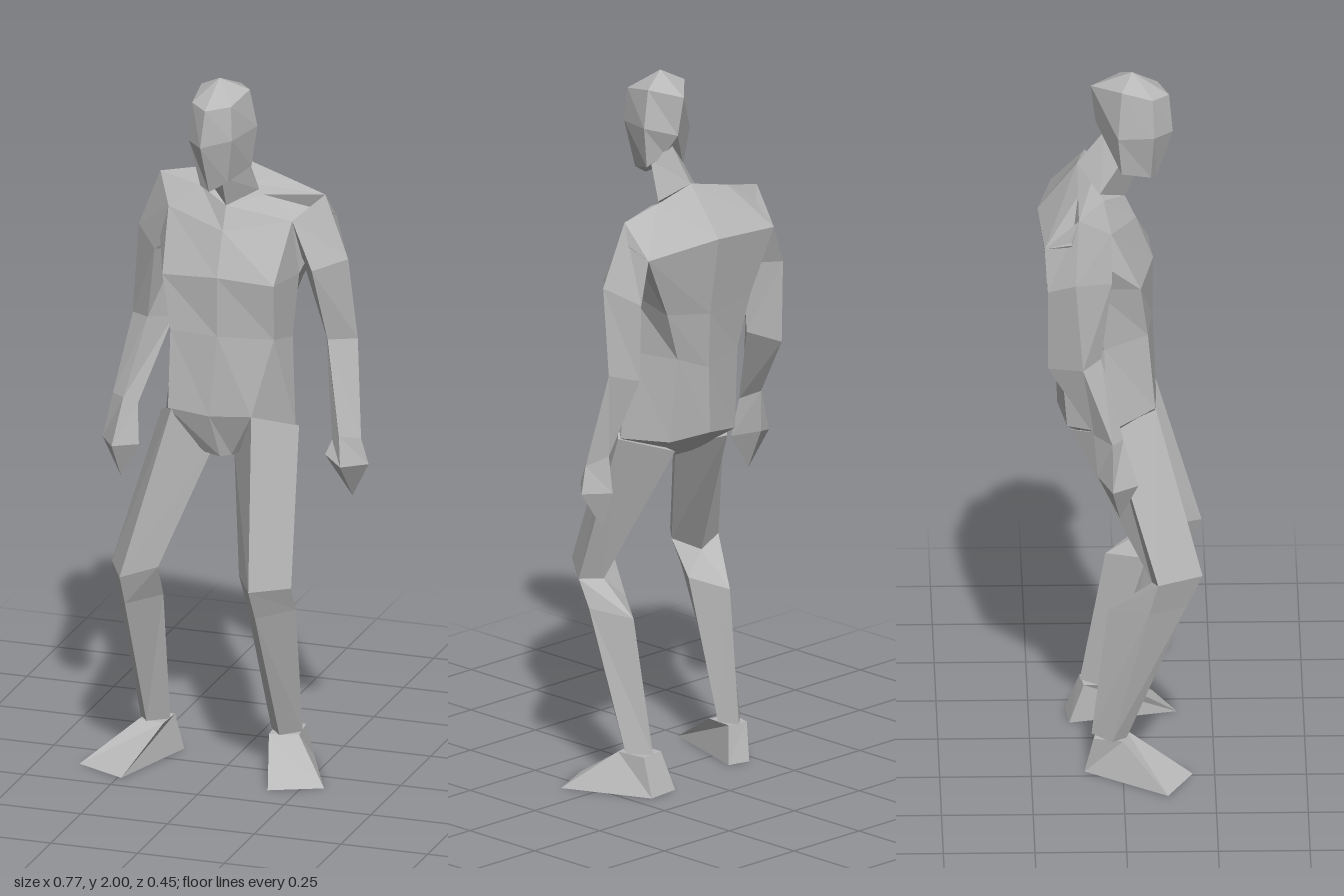
import * as THREE from 'three';

const grey = new THREE.MeshStandardMaterial({ color: 0xb8b8b8 });
grey.name = 'plain grey';

// Skin a stack of cross-section rings with flat facets; a one-point ring makes a tip.
function loft(name, rings) {
  const tris = [];
  const add = (a, b, c) => { if (a !== b && b !== c && c !== a) tris.push([a, b, c]); };
  const at = (ring, i) => ring[i % ring.length];
  const sides = Math.max(...rings.map(r => r.length));
  for (let k = 0; k < rings.length - 1; k++) {
    for (let i = 0; i < sides; i++) {
      const a = at(rings[k], i), b = at(rings[k], i + 1);
      const c = at(rings[k + 1], i + 1), d = at(rings[k + 1], i);
      add(a, b, c);
      add(a, c, d);
    }
  }
  // End caps
  const cap = (ring, flip) => {
    if (ring.length < 3) return;
    const mid = [0, 1, 2].map(j => ring.reduce((s, p) => s + p[j], 0) / ring.length);
    ring.forEach((p, i) => {
      const q = at(ring, i + 1);
      if (flip) add(mid, q, p); else add(mid, p, q);
    });
  };
  cap(rings[0], true);
  cap(rings[rings.length - 1], false);

  // Turn the facets outward if the enclosed volume is negative
  const v = p => new THREE.Vector3(...p);
  const volume = tris.reduce((s, [a, b, c]) => s + v(a).dot(v(b).cross(v(c))), 0);
  if (volume < 0) tris.forEach(t => t.reverse());

  const geometry = new THREE.BufferGeometry();
  geometry.setAttribute('position', new THREE.Float32BufferAttribute(tris.flat(2), 3));
  geometry.computeVertexNormals();
  const mesh = new THREE.Mesh(geometry, grey);
  mesh.name = name;
  return mesh;
}

// Head rings: front, front left, left, back, right, front right
const head = [
  [[-0.012, 2, 0.03]],
  [[-0.02, 1.935, 0.13], [0.045, 1.945, 0.1], [0.065, 1.965, 0], [0.01, 1.95, -0.083], [-0.075, 1.965, 0], [-0.072, 1.94, 0.085]],
  [[-0.03, 1.83, 0.14], [0.05, 1.85, 0.107], [0.085, 1.86, -0.005], [0.02, 1.84, -0.07], [-0.085, 1.83, -0.01], [-0.08, 1.83, 0.088]],
  [[-0.02, 1.69, 0.095], [0.03, 1.72, 0.085], [0.07, 1.745, 0], [0.03, 1.78, -0.03], [-0.07, 1.72, 0], [-0.05, 1.7, 0.08]],
];

// Neck rings: front, left, back, right
const neck = [
  [[0, 1.72, 0.05], [0.055, 1.76, 0], [0.02, 1.81, -0.045], [-0.055, 1.75, 0]],
  [[0, 1.625, 0.01], [0.075, 1.66, -0.05], [0.02, 1.715, -0.12], [-0.07, 1.66, -0.06]],
];

// Torso rings: front, front left, left, back left, back, back right, right, front right
const chest = [
  [[0, 1.625, 0.01], [0.09, 1.65, -0.04], [0.25, 1.65, -0.095], [0.14, 1.68, -0.11],
    [0.02, 1.715, -0.12], [-0.12, 1.68, -0.12], [-0.234, 1.655, -0.12], [-0.09, 1.65, -0.05]],
  [[0, 1.56, 0.04], [0.18, 1.59, -0.02], [0.26, 1.59, -0.12], [0.25, 1.56, -0.188],
    [0.02, 1.58, -0.228], [-0.207, 1.56, -0.213], [-0.25, 1.59, -0.14], [-0.18, 1.59, -0.03]],
  [[0, 1.44, 0.087], [0.16, 1.43, 0.077], [0.19, 1.43, -0.05], [0.16, 1.38, -0.17],
    [0.02, 1.36, -0.195], [-0.14, 1.38, -0.19], [-0.19, 1.43, -0.08], [-0.17, 1.42, 0.05]],
];
const belly = [
  chest[2],
  [[0, 1.27, 0.085], [0.155, 1.27, 0.06], [0.175, 1.25, -0.04], [0.11, 1.24, -0.16],
    [0.01, 1.2, -0.18], [-0.11, 1.23, -0.17], [-0.17, 1.24, -0.05], [-0.14, 1.27, 0.07]],
  [[-0.02, 1.04, 0.095], [0.1, 1.05, 0.09], [0.19, 1, -0.02], [0.12, 1, -0.14],
    [0, 1.01, -0.175], [-0.12, 0.99, -0.15], [-0.19, 1, -0.04], [-0.14, 1.05, 0.09]],
  [[0, 0.915, 0.06], [0.03, 0.92, 0.05], [0.09, 0.93, 0], [0.06, 0.93, -0.07],
    [0, 0.94, -0.1], [-0.07, 0.93, -0.07], [-0.1, 0.93, 0], [-0.05, 0.92, 0.05]],
];

// Limb rings: front, outer, back, inner
const leftArm = [
  [[0.18, 1.59, -0.02], [0.25, 1.65, -0.095], [0.25, 1.56, -0.188], [0.15, 1.5, -0.1]],
  [[0.24, 1.455, -0.01], [0.32, 1.475, -0.083], [0.28, 1.44, -0.19], [0.19, 1.43, -0.1]],
  [[0.265, 1.24, -0.07], [0.335, 1.235, -0.12], [0.296, 1.23, -0.2], [0.24, 1.24, -0.13]],
  [[0.315, 0.98, -0.02], [0.365, 0.97, -0.06], [0.325, 1, -0.11], [0.285, 0.96, -0.05]],
];
const rightArm = [
  [[-0.18, 1.59, -0.03], [-0.234, 1.655, -0.12], [-0.207, 1.56, -0.213], [-0.15, 1.5, -0.12]],
  [[-0.22, 1.46, -0.03], [-0.3, 1.49, -0.13], [-0.25, 1.45, -0.205], [-0.18, 1.44, -0.12]],
  [[-0.25, 1.25, -0.06], [-0.31, 1.24, -0.11], [-0.245, 1.22, -0.205], [-0.195, 1.24, -0.12]],
  [[-0.3, 1.03, 0], [-0.34, 1.03, -0.03], [-0.29, 1.04, -0.08], [-0.265, 1.01, -0.02]],
];
const leftHand = [
  leftArm[3],
  [[0.325, 0.9, 0], [0.385, 0.895, -0.065], [0.33, 0.9, -0.13], [0.27, 0.92, -0.035]],
  [[0.33, 0.79, -0.09]],
];
const rightHand = [
  rightArm[3],
  [[-0.32, 0.9, 0.04], [-0.37, 0.9, -0.03], [-0.3, 0.92, -0.07], [-0.255, 0.9, 0]],
  [[-0.31, 0.8, -0.01]],
];

// Leg rings: hip, knee, top of calf, ankle
const leftLeg = [
  [[0.1, 1.05, 0.09], [0.2, 1, -0.02], [0.1, 0.97, -0.14], [0.02, 0.92, 0]],
  [[0.137, 0.59, 0.222], [0.222, 0.575, 0.11], [0.15, 0.565, 0.085], [0.075, 0.6, 0.12]],
  [[0.14, 0.5, 0.175], [0.222, 0.5, 0.07], [0.16, 0.48, -0.04], [0.08, 0.5, 0.07]],
  [[0.15, 0.105, 0], [0.2, 0.105, -0.05], [0.155, 0.105, -0.11], [0.11, 0.105, -0.05]],
];
const rightLeg = [
  [[-0.13, 1.05, 0.09], [-0.2, 1, -0.03], [-0.1, 0.97, -0.14], [-0.04, 0.92, 0]],
  [[-0.236, 0.59, 0.217], [-0.3, 0.59, 0.095], [-0.22, 0.565, 0.08], [-0.155, 0.6, 0.13]],
  [[-0.235, 0.5, 0.175], [-0.29, 0.5, 0.07], [-0.21, 0.48, -0.04], [-0.16, 0.5, 0.07]],
  [[-0.23, 0.105, 0.01], [-0.26, 0.105, -0.03], [-0.2, 0.105, -0.085], [-0.175, 0.105, -0.03]],
];

// Foot rings: inner toe, outer toe, outer heel, inner heel
const leftFoot = [
  [[0.12, 0.105, 0], [0.2, 0.105, -0.02], [0.19, 0.105, -0.11], [0.115, 0.105, -0.1]],
  [[0.17, 0, 0.155], [0.31, 0, 0.09], [0.2, 0, -0.15], [0.1, 0, -0.14]],
];
const rightFoot = [
  [[-0.18, 0.105, 0.01], [-0.255, 0.105, 0], [-0.235, 0.105, -0.08], [-0.175, 0.105, -0.07]],
  [[-0.24, 0, 0.19], [-0.385, 0, 0.12], [-0.22, 0, -0.105], [-0.155, 0, -0.09]],
];

export function createModel() {
  const model = new THREE.Group();
  model.name = 'standing figure';
  const parts = { head, neck, chest, belly, leftArm, rightArm, leftHand, rightHand, leftLeg, rightLeg, leftFoot, rightFoot };
  for (const [name, rings] of Object.entries(parts)) model.add(loft(name, rings));
  return model;
}
